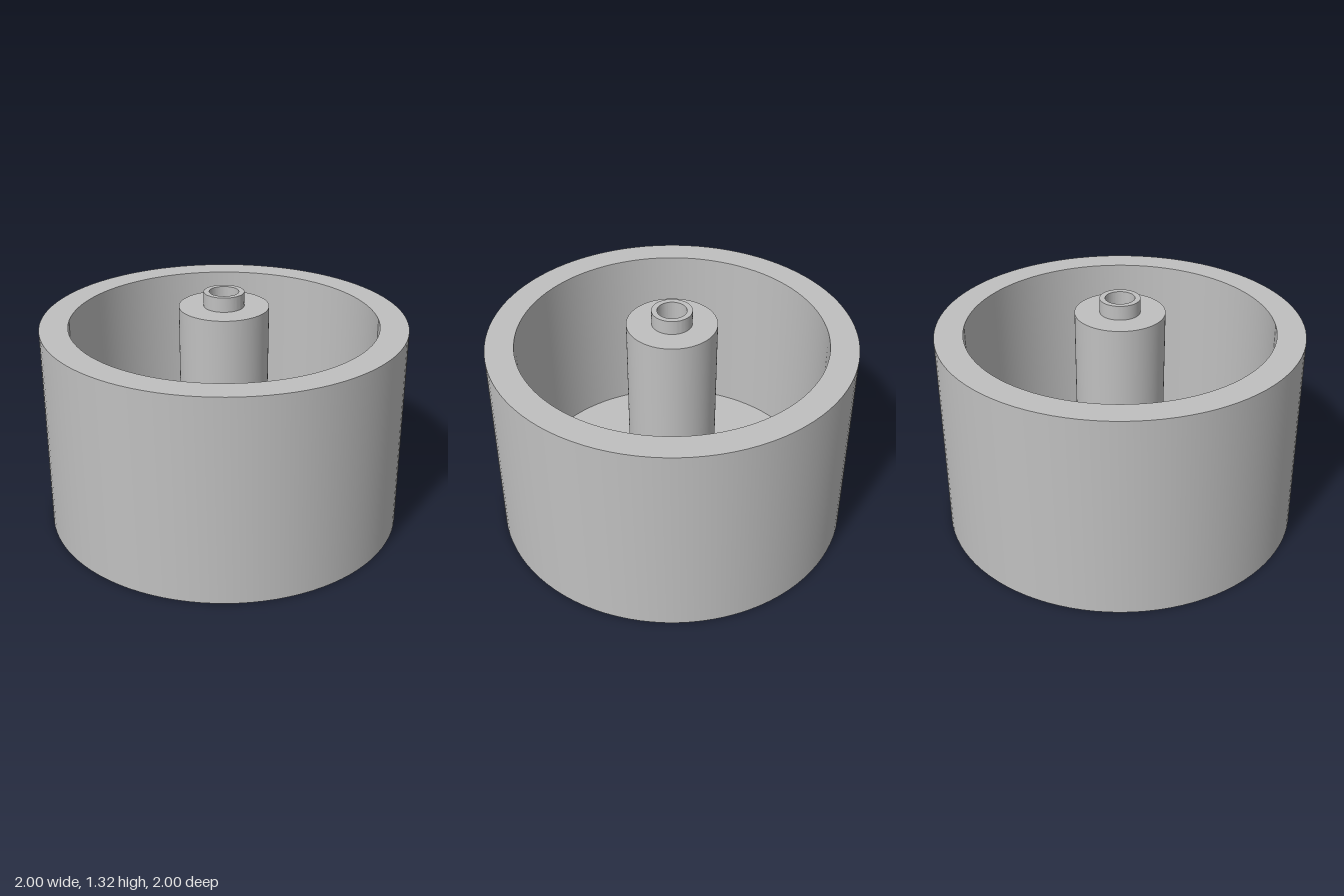
import * as THREE from 'three';
import { toCreasedNormals } from 'three/addons/utils/BufferGeometryUtils.js';

const SEGMENTS = 96;
const OUTER_R = 1, INNER_R = 0.845, POST_R = 0.245, NUB_R = 0.11, BORE_R = 0.08;
const RIM_Y = 1.15, FLOOR_Y = 0.155, POST_Y = 1.235, NUB_Y = 1.315;
const HEX_R = 0.155, HEX_DEPTH = 0.125;

// Revolved surface with sharp profile corners
function turned(profile, segments = SEGMENTS, start = 0) {
  const points = profile.map(([r, y]) => new THREE.Vector2(r, y));
  return toCreasedNormals(new THREE.LatheGeometry(points, segments, start), 0.5);
}

// Regular outline in the ground plane, first corner on +x
function outline(radius, sides) {
  return Array.from({ length: sides }, (_, i) => {
    const a = (i / sides) * Math.PI * 2;
    return new THREE.Vector2(radius * Math.cos(a), radius * Math.sin(a));
  });
}

// Flat plate with a hole, facing down
function downPlate(edge, hole, y) {
  const shape = new THREE.Shape(edge);
  shape.holes.push(new THREE.Path(hole));
  return new THREE.ShapeGeometry(shape).rotateX(Math.PI / 2).translate(0, y, 0);
}

export function createModel() {
  const model = new THREE.Group();
  model.name = 'hollowWheel';
  const grey = new THREE.MeshStandardMaterial({ name: 'grey', color: 0xc0c0c0 });

  const add = (name, geometry) => {
    const mesh = new THREE.Mesh(geometry, grey);
    mesh.name = name;
    model.add(mesh);
  };

  // Outer wall, rim, inner wall and floor
  add('cup', turned([
    [OUTER_R, 0], [OUTER_R, RIM_Y], [INNER_R, RIM_Y], [INNER_R, FLOOR_Y], [POST_R, FLOOR_Y],
  ]));

  // Central post with its raised collar and through bore
  add('hubPost', turned([
    [POST_R, FLOOR_Y], [POST_R, POST_Y], [NUB_R, POST_Y], [NUB_R, NUB_Y],
    [BORE_R, NUB_Y], [BORE_R, HEX_DEPTH],
  ]));

  // Underside with a six-sided nut pocket around the bore
  const hex = outline(HEX_R, 6);
  add('underside', downPlate(outline(OUTER_R, SEGMENTS), hex, 0));
  add('nutPocketWalls', turned([[HEX_R, HEX_DEPTH], [HEX_R, 0]], 6, Math.PI / 2));
  add('nutPocketCeiling', downPlate(hex, outline(BORE_R, SEGMENTS), HEX_DEPTH));

  return model;
}
